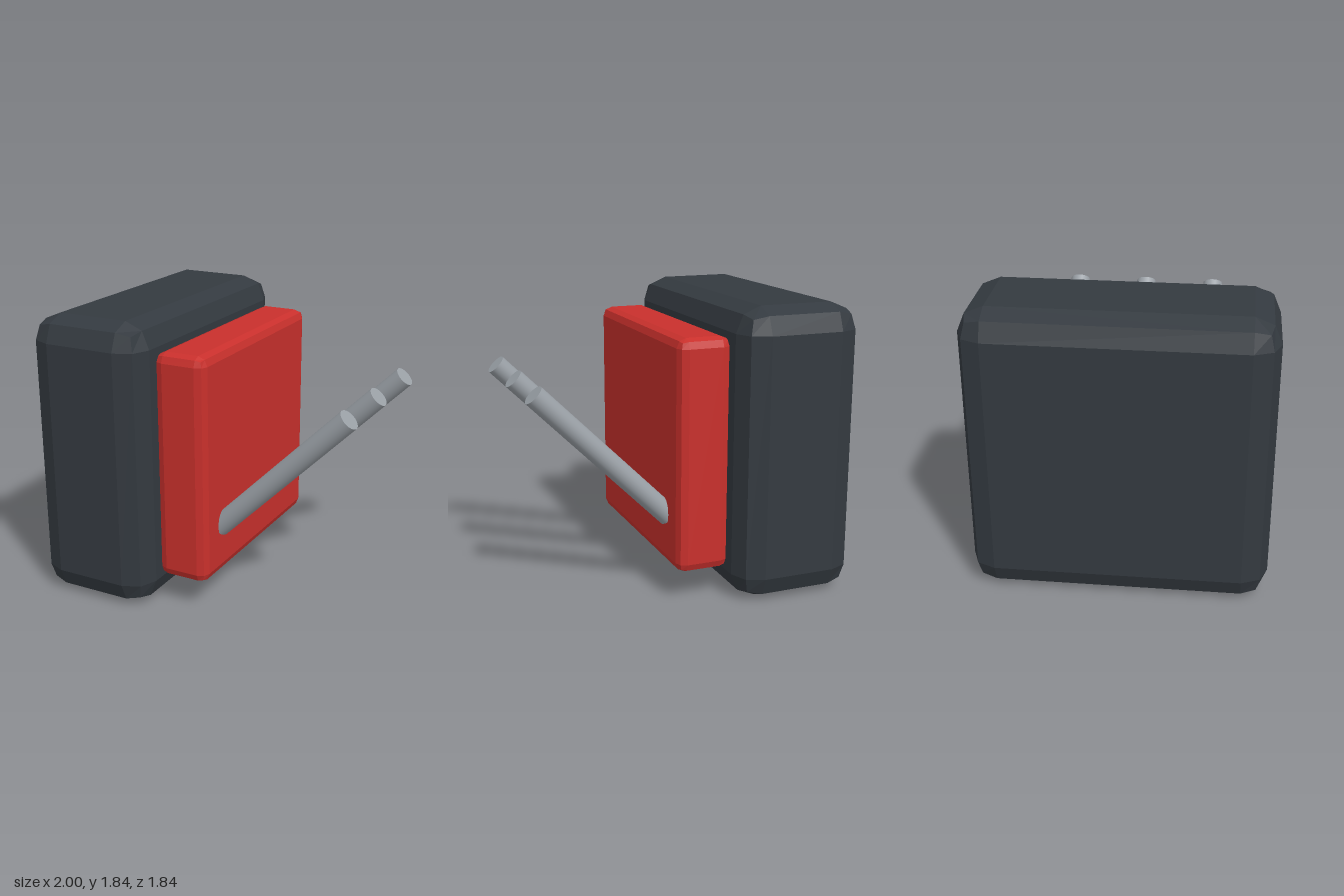
import * as THREE from 'three';
import { RoundedBoxGeometry } from 'three/addons/geometries/RoundedBoxGeometry.js';

const dark = new THREE.MeshStandardMaterial({ color: 0x343a40, flatShading: true });
const red = new THREE.MeshStandardMaterial({ color: 0xc9302c, flatShading: true });
const metal = new THREE.MeshStandardMaterial({ color: 0x9aa0a6 });

// Block with two-facet bevelled edges, given by its x and y extents and depth
function bevelledBlock(name, [x0, x1], [y0, y1], depth, radius, material) {
  const geometry = new RoundedBoxGeometry(x1 - x0, y1 - y0, depth, 1, radius);
  const mesh = new THREE.Mesh(geometry, material);
  mesh.name = name;
  mesh.position.set((x0 + x1) / 2, (y0 + y1) / 2, 0);
  return mesh;
}

export function createModel() {
  const model = new THREE.Group();
  model.name = 'wallPlugWithRods';

  // Thick backing block and the smaller plate in front of it
  model.add(bevelledBlock('backingBlock', [-1, -0.21], [0, 1.84], 1.84, 0.16, dark));
  model.add(bevelledBlock('facePlate', [-0.21, 0.13], [0.19, 1.66], 1.46, 0.06, red));

  // Three parallel rods rising at 45 degrees from the plate
  const rods = new THREE.Group();
  rods.name = 'rods';
  const rodGeometry = new THREE.CylinderGeometry(0.068, 0.068, 1.2, 24);
  for (const z of [-0.482, 0, 0.482]) {
    const rod = new THREE.Mesh(rodGeometry, metal);
    rod.name = 'rod';
    rod.position.set(0.528, 0.925, z);
    rod.rotation.z = -Math.PI / 4;
    rods.add(rod);
  }
  model.add(rods);
  return model;
}
